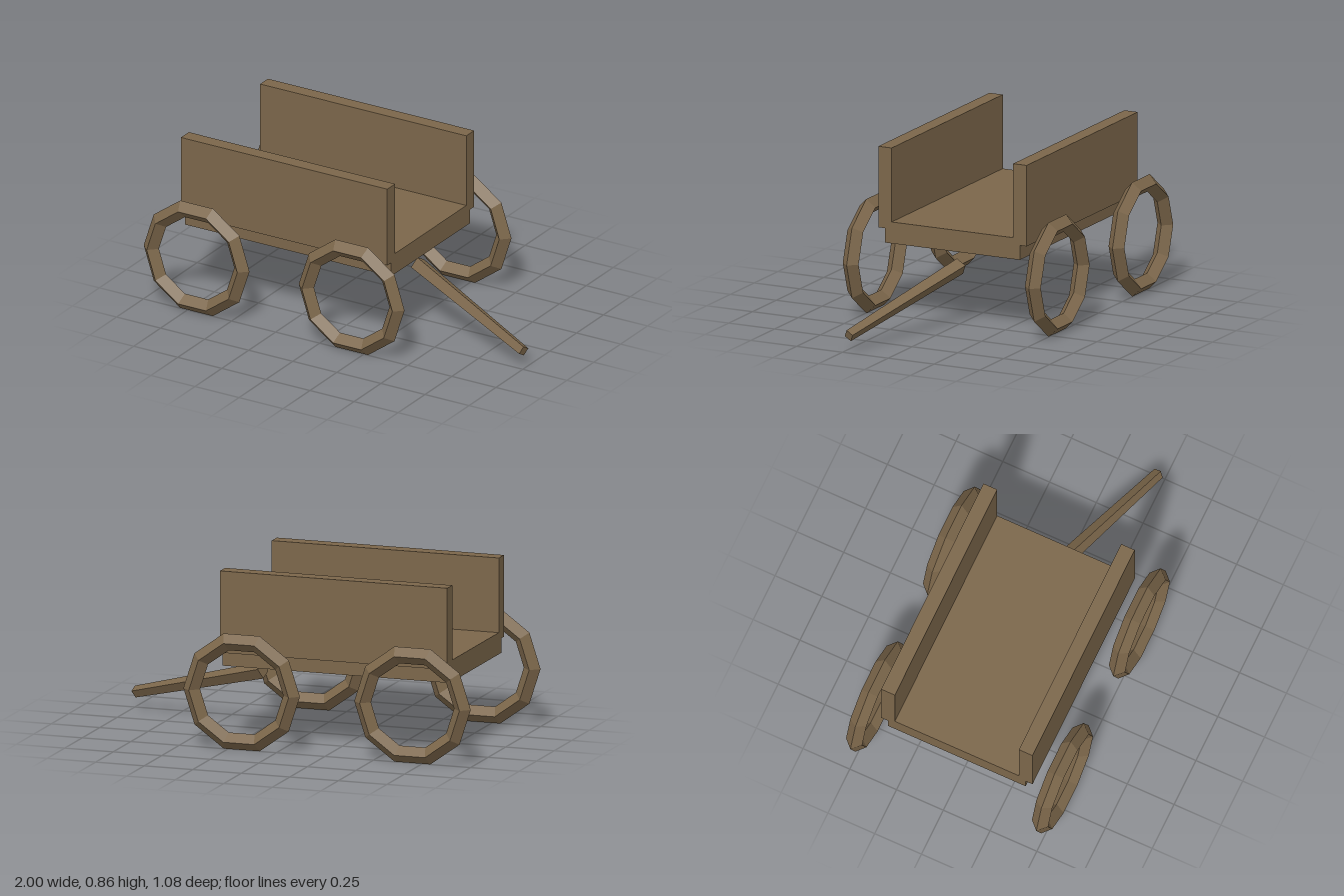
import * as THREE from 'three';

export function createModel() {
  const wagon = new THREE.Group();
  wagon.name = 'wagon';
  const wood = new THREE.MeshStandardMaterial({ color: 0x7b664a, flatShading: true });
  wood.name = 'brown wood';

  function add(name, geometry, x, y, z) {
    const mesh = new THREE.Mesh(geometry, wood);
    mesh.name = name;
    mesh.position.set(x, y, z);
    wagon.add(mesh);
    return mesh;
  }

  // Wagon bed
  add('bed', new THREE.BoxGeometry(1.17, 0.107, 0.735), -0.26, 0.436, 0);

  // Side boards and wheels, mirrored front to back
  for (const [side, s] of [['front', 1], ['back', -1]]) {
    add(side + 'SideBoard', new THREE.BoxGeometry(1.17, 0.405, 0.073), -0.26, 0.657, s * 0.368);
    for (const [end, x] of [['Right', -0.7], ['Left', 0.18]]) {
      add(side + end + 'Wheel', new THREE.TorusGeometry(0.257, 0.043, 4, 10), x, 0.287, s * 0.497);
    }
  }

  // Tapered square drawbar, sloping down and out to one side
  const start = new THREE.Vector3(0.249, 0.291, -0.002);
  const tip = new THREE.Vector3(0.988, 0.085, 0.222);
  const along = tip.clone().sub(start);
  const geometry = new THREE.CylinderGeometry(0.029, 0.041, along.length(), 4);
  geometry.rotateY(Math.PI / 4);
  along.normalize();
  const across = new THREE.Vector3(-0.12, 0.48, 0.86);
  across.addScaledVector(along, -across.dot(along)).normalize();
  const third = new THREE.Vector3().crossVectors(along, across);
  const middle = start.clone().add(tip).multiplyScalar(0.5);
  const drawbar = add('drawbar', geometry, middle.x, middle.y, middle.z);
  drawbar.quaternion.setFromRotationMatrix(new THREE.Matrix4().makeBasis(third, along, across));

  return wagon;
}
